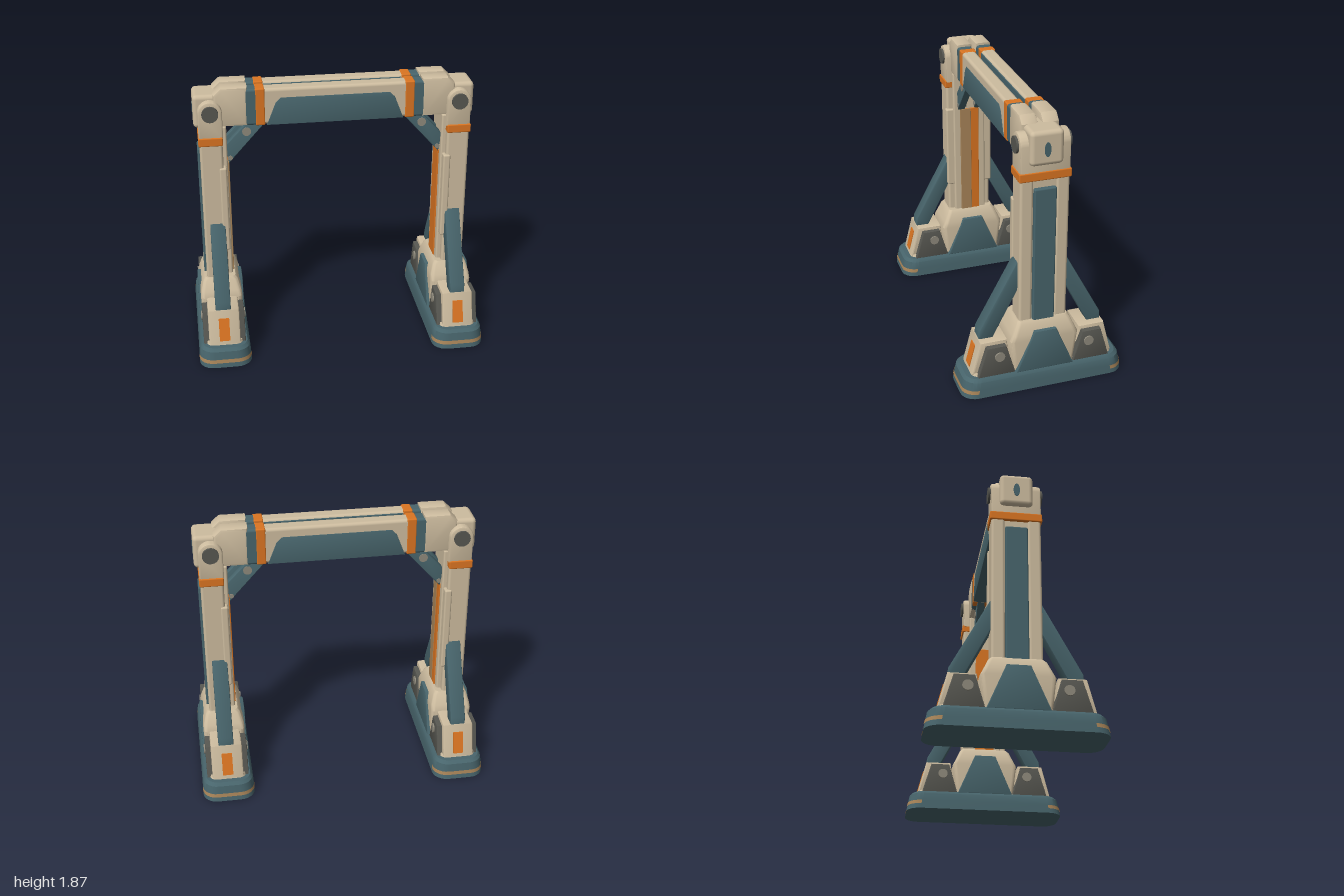
import * as THREE from 'three';
import { toCreasedNormals } from 'three/addons/utils/BufferGeometryUtils.js';
import { RoundedBoxGeometry } from 'three/addons/geometries/RoundedBoxGeometry.js';

const paint = (name, color, side = THREE.FrontSide) => {
  const m = new THREE.MeshStandardMaterial({ color, side });
  m.name = name;
  return m;
};

export function createModel() {
  const tan = paint('tan', 0xcdbc9f, THREE.DoubleSide);
  const teal = paint('teal', 0x48656c);
  const orange = paint('orange', 0xdb7522);
  const grey = paint('dark grey', 0x575751);
  const boltGrey = paint('bolt grey', 0x8f8a7c);
  const wornTan = paint('worn tan', 0xa98559, THREE.DoubleSide);

  const add = (parent, name, geometry, material) => {
    const mesh = new THREE.Mesh(geometry, material);
    mesh.name = name;
    parent.add(mesh);
    return mesh;
  };

  // Rounded box given by its limits on each axis
  const box = (parent, name, mat, [x0, x1], [y0, y1], [z0, z1], r = 0.012) => {
    const g = new RoundedBoxGeometry(x1 - x0, y1 - y0, z1 - z0, 2, r);
    g.translate((x0 + x1) / 2, (y0 + y1) / 2, (z0 + z1) / 2);
    return add(parent, name, g, mat);
  };

  // Bevelled slab: outline in x-y, from z0 to z1
  const slab = (shape, z0, z1, bevel) => {
    const s = Array.isArray(shape) ? new THREE.Shape(shape.map(p => new THREE.Vector2(...p))) : shape;
    const g = new THREE.ExtrudeGeometry(s, {
      depth: z1 - z0 - 2 * bevel, bevelEnabled: bevel > 0, bevelThickness: bevel,
      bevelSize: bevel, bevelOffset: -bevel, bevelSegments: 2, curveSegments: 16,
    });
    g.translate(0, 0, z0 + bevel);
    return toCreasedNormals(g, 0.6);
  };

  // Slab with its outline in z-y, centred across x
  const sideSlab = (points, halfWidth, bevel) =>
    slab(points.map(([z, y]) => [-z, y]), -halfWidth, halfWidth, bevel).rotateY(Math.PI / 2);

  // Rounded rectangle in plan
  const plan = (y, hx, hz, r) => {
    const pts = [];
    for (let c = 0; c < 4; c++) {
      const sx = c === 0 || c === 3 ? 1 : -1, sz = c < 2 ? 1 : -1;
      for (let i = 0; i <= 6; i++) {
        const a = (c + i / 6) * Math.PI / 2;
        pts.push([sx * (hx - r) + r * Math.cos(a), y, sz * (hz - r) + r * Math.sin(a)]);
      }
    }
    return pts;
  };

  // Skin over a stack of cross-sections, capped unless open
  const loft = (sections, open = false) => {
    const pos = [], n = sections[0].length;
    const tri = (...p) => p.forEach(v => pos.push(...v));
    for (let s = 0; s + 1 < sections.length; s++) {
      const lo = sections[s], hi = sections[s + 1];
      for (let i = 0; i < (open ? n - 1 : n); i++) {
        const j = (i + 1) % n;
        tri(lo[i], hi[i], hi[j]);
        tri(lo[i], hi[j], lo[j]);
      }
    }
    if (!open) {
      const top = sections[sections.length - 1], bottom = sections[0];
      for (let i = 1; i + 1 < n; i++) {
        tri(bottom[0], bottom[i], bottom[i + 1]);
        tri(top[0], top[i + 1], top[i]);
      }
    }
    const g = new THREE.BufferGeometry();
    g.setAttribute('position', new THREE.Float32BufferAttribute(pos, 3));
    g.computeVertexNormals();
    return toCreasedNormals(g, 0.6);
  };

  const disc = (parent, name, mat, r, depth, x, y, z, axis = 'z') => {
    const g = new THREE.CylinderGeometry(r, r, depth, 24);
    if (axis === 'z') g.rotateX(Math.PI / 2); else g.rotateZ(Math.PI / 2);
    return add(parent, name, g.translate(x, y, z), mat);
  };

  // Leg about its own centre line, with +x pointing outward
  const makeLeg = () => {
    const leg = new THREE.Group();

    // Foot
    add(leg, 'footPad', loft([plan(0, 0.18, 0.565, 0.1), plan(0.06, 0.177, 0.555, 0.1),
      plan(0.115, 0.171, 0.545, 0.1), plan(0.135, 0.155, 0.525, 0.09)]), teal);
    add(leg, 'footPlinth', loft([plan(0.12, 0.13, 0.495, 0.05), plan(0.155, 0.122, 0.485, 0.05)]), tan);
    add(leg, 'ankleSkirt', loft([plan(0.14, 0.135, 0.21, 0.03), plan(0.36, 0.145, 0.235, 0.03),
      plan(0.4, 0.14, 0.215, 0.03), plan(0.47, 0.12, 0.185, 0.03), plan(0.49, 0.105, 0.17, 0.03)]), tan);
    add(leg, 'anklePlate', sideSlab([[-0.2, 0.13], [0.2, 0.13], [0.075, 0.425], [-0.075, 0.425]], 0.158, 0.008), teal);

    // Column
    box(leg, 'columnCore', tan, [-0.09, 0.08], [0.4, 1.6], [-0.12, 0.12]);
    box(leg, 'outerPanel', teal, [0.05, 0.108], [0.46, 1.43], [-0.074, 0.074], 0.01);
    box(leg, 'innerPanel', orange, [-0.099, 0], [0.46, 1.32], [-0.07, 0.07], 0.004);
    box(leg, 'collar', orange, [-0.062, 0.1], [1.483, 1.543], [-0.172, 0.172], 0.008);

    // Head with rounded top
    const arch = new THREE.Shape();
    arch.moveTo(-0.065, 1.53).lineTo(0.095, 1.53).lineTo(0.095, 1.71);
    arch.absarc(0.015, 1.71, 0.08, 0, Math.PI, false);
    arch.closePath();
    add(leg, 'legHead', slab(arch, -0.165, 0.165, 0.012), tan);
    box(leg, 'endCap', tan, [-0.13, 0.125], [1.59, 1.82], [-0.11, 0.11], 0.03);
    const slot = disc(leg, 'endCapSlot', teal, 0.021, 0.01, 0, 0, 0, 'x');
    slot.position.set(0.123, 1.7, 0);
    slot.scale.y = 2.3;

    for (const s of [-1, 1]) {
      const span = (a, b) => (s > 0 ? [a, b] : [-b, -a]);
      const side = pts => pts.map(([z, y]) => [z * s, y]);

      box(leg, 'columnPost', tan, [-0.06, 0.093], [0.4, 1.5], span(0.075, 0.163), 0.018);
      box(leg, 'columnRail', tan, [-0.08, -0.03], [0.7, 1.32], span(0.1, 0.172), 0.012);
      disc(leg, 'pivotDisc', grey, 0.055, 0.04, 0.015, 1.71, s * 0.16);

      // Coupler that grips one beam
      add(leg, 'beamCoupler', slab([[-0.235, 1.598], [-0.01, 1.598], [-0.01, 1.82], [-0.06, 1.868],
        [-0.235, 1.868]], ...span(0.012, 0.126), 0.02), tan);

      // Foot end block, cheek plate and bolts
      add(leg, 'footBlock', sideSlab(side([[0.22, 0.14], [0.49, 0.14], [0.43, 0.375], [0.25, 0.375]]), 0.108, 0.014), tan);
      add(leg, 'footMarker', sideSlab(side([[0.475, 0.165], [0.4895, 0.165], [0.45, 0.32], [0.435, 0.32]]), 0.036, 0), orange);
      add(leg, 'footCheek', sideSlab(side([[0.2, 0.13], [0.46, 0.13], [0.395, 0.35], [0.265, 0.35]]), 0.144, 0.008), grey);
      disc(leg, 'footBolt', boltGrey, 0.034, 0.306, 0, 0.275, s * 0.31, 'x');

      // Diagonal strut
      add(leg, 'legStrut', sideSlab(side([[0.335, 0.36], [0.425, 0.36], [0.42, 0.43], [0.165, 0.905],
        [0.14, 0.905], [0.14, 0.74]]), 0.052, 0.008), teal);

      // Knee brace under the beam
      add(leg, 'kneeBrace', slab([[-0.1, 1.32], [-0.08, 1.45], [-0.23, 1.61], [-0.36, 1.61]],
        ...span(0.035, 0.09), 0.008), teal);
      disc(leg, 'braceBolt', boltGrey, 0.03, 0.066, -0.225, 1.545, s * 0.0625);
      disc(leg, 'bracePin', boltGrey, 0.016, 0.066, -0.11, 1.36, s * 0.0625);

      // Worn band round the end of the foot
      const endArc = (y, hx, hz) => plan(y, hx, hz, 0.1).filter(p => p[2] > 0.45).map(([x, py, z]) => [s * x, py, s * z]);
      add(leg, 'wornBand', loft([endArc(0.034, 0.181, 0.5625), endArc(0.06, 0.179, 0.558)], true), wornTan);
    }
    return leg;
  };

  const model = new THREE.Group();
  model.name = 'gantry';
  for (const s of [-1, 1]) {
    const leg = makeLeg();
    leg.name = s > 0 ? 'leftLeg' : 'rightLeg';
    leg.position.x = s * 0.82;
    if (s < 0) {
      leg.rotation.y = Math.PI;
      // Worn half of this leg's inner panel
      box(leg, 'wornPanel', wornTan, [-0.102, -0.05], [0.46, 1.32], [-0.071, 0.01], 0.003);
    }
    model.add(leg);

    // One of the paired beams
    const beam = new THREE.Group();
    beam.name = s > 0 ? 'frontBeam' : 'backBeam';
    beam.position.z = s * 0.07;
    box(beam, 'beamBar', tan, [-0.62, 0.62], [1.6, 1.85], [-0.05, 0.05], 0.022);
    add(beam, 'beamPanel', slab([[-0.46, 1.597], [0.46, 1.597], [0.4, 1.75], [0.365, 1.785],
      [-0.365, 1.785], [-0.4, 1.75]], -0.053, 0.053, 0.002), teal);
    box(beam, 'innerLiner', teal, [-0.47, 0.47], [1.61, 1.835], s > 0 ? [-0.054, -0.03] : [0.03, 0.054], 0.004);
    for (const e of [-1, 1]) {
      const span = (a, b) => (e > 0 ? [a, b] : [-b, -a]);
      box(beam, 'endSleeve', teal, span(0.5, 0.62), [1.598, 1.852], [-0.052, 0.052], 0.018);
      box(beam, 'beamStripe', orange, span(0.47, 0.535), [1.596, 1.854], [-0.054, 0.054], 0.009);
    }
    model.add(beam);
  }
  return model;
}
